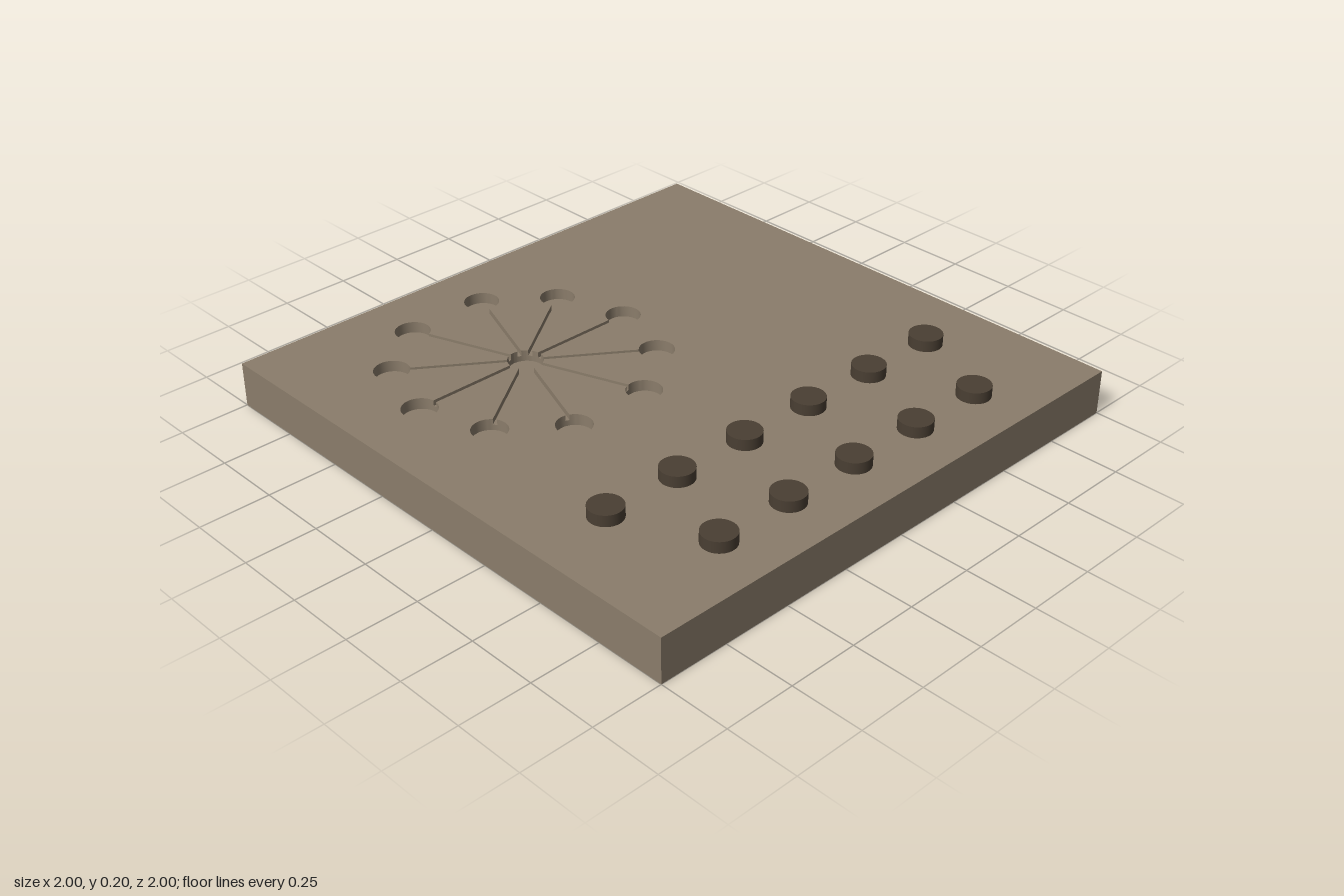
import * as THREE from 'three';
import { mergeGeometries, toCreasedNormals } from 'three/addons/utils/BufferGeometryUtils.js';

const TOP = 0.16, GROOVE_Y = 0.14, PIT_Y = 0.12;
const PIT_R = 0.061, SPOKE = 0.44, GROOVE_W = 0.014;
const HALF = Math.asin(GROOVE_W / 2 / PIT_R);   // half the angle of a groove mouth
const HUB = new THREE.Vector2(-0.31, 0.37);     // plan coordinates: (x, -z)

const polar = (c, r, a) => new THREE.Vector2(c.x + r * Math.cos(a), c.y + r * Math.sin(a));

function arc(c, r, a0, a1, n) {
  return Array.from({ length: n + 1 }, (_, i) => polar(c, r, a0 + (a1 - a0) * i / n));
}

// Flat face at a given height, facing up
function face(points, y, holes = []) {
  const shape = new THREE.Shape(points);
  shape.holes = holes.map(h => new THREE.Path(h));
  return new THREE.ShapeGeometry(shape).rotateX(-Math.PI / 2).translate(0, y, 0);
}

// Upright strip along a closed loop, facing the left of the direction of travel
function wall(points, y0, y1) {
  const pos = [];
  points.forEach((a, i) => {
    const b = points[(i + 1) % points.length];
    const quad = [[a, y0], [a, y1], [b, y1], [b, y0]];
    for (const k of [0, 1, 2, 0, 2, 3]) pos.push(quad[k][0].x, quad[k][1], -quad[k][0].y);
  });
  const g = new THREE.BufferGeometry();
  g.setAttribute('position', new THREE.Float32BufferAttribute(pos, 3));
  return g;
}

function merge(parts) {
  const clean = parts.map(p => {
    const g = p.index ? p.toNonIndexed() : p;
    g.deleteAttribute('uv');
    g.computeVertexNormals();
    return g;
  });
  return toCreasedNormals(mergeGeometries(clean), 0.6);
}

function boardGeometry() {
  const angles = [0, 35, 70, 110, 145, 180, 215, 250, 290, 325].map(THREE.MathUtils.degToRad);
  const star = [], hub = [], parts = [];

  angles.forEach((t, i) => {
    const next = i + 1 < angles.length ? angles[i + 1] : Math.PI * 2;
    // Outer pit, open towards the hub
    const pit = arc(polar(HUB, SPOKE, t), PIT_R, t + Math.PI + HALF, t + 3 * Math.PI - HALF, 40);
    const hubArc = arc(HUB, PIT_R, t + HALF, next - HALF, 5);
    star.push(...pit, ...hubArc);
    hub.push(...hubArc);
    parts.push(wall(pit, PIT_Y, GROOVE_Y), face(pit, PIT_Y));
    // Groove floor
    const a = polar(HUB, PIT_R, t - HALF), b = polar(HUB, PIT_R, t + HALF);
    parts.push(face([a, pit[0], pit[pit.length - 1], b], GROOVE_Y));
  });

  const square = [[-1, -1], [1, -1], [1, 1], [-1, 1]].map(p => new THREE.Vector2(...p));
  parts.push(
    wall(hub, PIT_Y, GROOVE_Y), face(hub, PIT_Y),     // central pit
    wall(star, GROOVE_Y, TOP),                        // upper walls of pits and grooves
    face(square, TOP, [star]),                        // top surface
    wall([...square].reverse(), 0, TOP),              // outer sides
    new THREE.PlaneGeometry(2, 2).rotateX(Math.PI / 2) // underside
  );
  return merge(parts);
}

export function createModel() {
  const model = new THREE.Group();
  model.name = 'pegBoard';

  const board = new THREE.Mesh(boardGeometry(), new THREE.MeshStandardMaterial({ color: 0x8b7d6b }));
  board.name = 'board';
  model.add(board);

  // Two staggered rows of round playing pieces
  const pegs = new THREE.Group();
  pegs.name = 'playingPieces';
  const pegGeometry = new THREE.CylinderGeometry(0.058, 0.058, 0.04, 40);
  const pegMaterial = new THREE.MeshStandardMaterial({ color: 0x4a3f33 });
  for (const [count, z] of [[6, 0.48], [5, 0.8]]) {
    for (let i = 0; i < count; i++) {
      const peg = new THREE.Mesh(pegGeometry, pegMaterial);
      peg.name = 'playingPiece';
      peg.position.set((i - (count - 1) / 2) * 0.29, TOP + 0.02, z);
      pegs.add(peg);
    }
  }
  model.add(pegs);
  return model;
}
